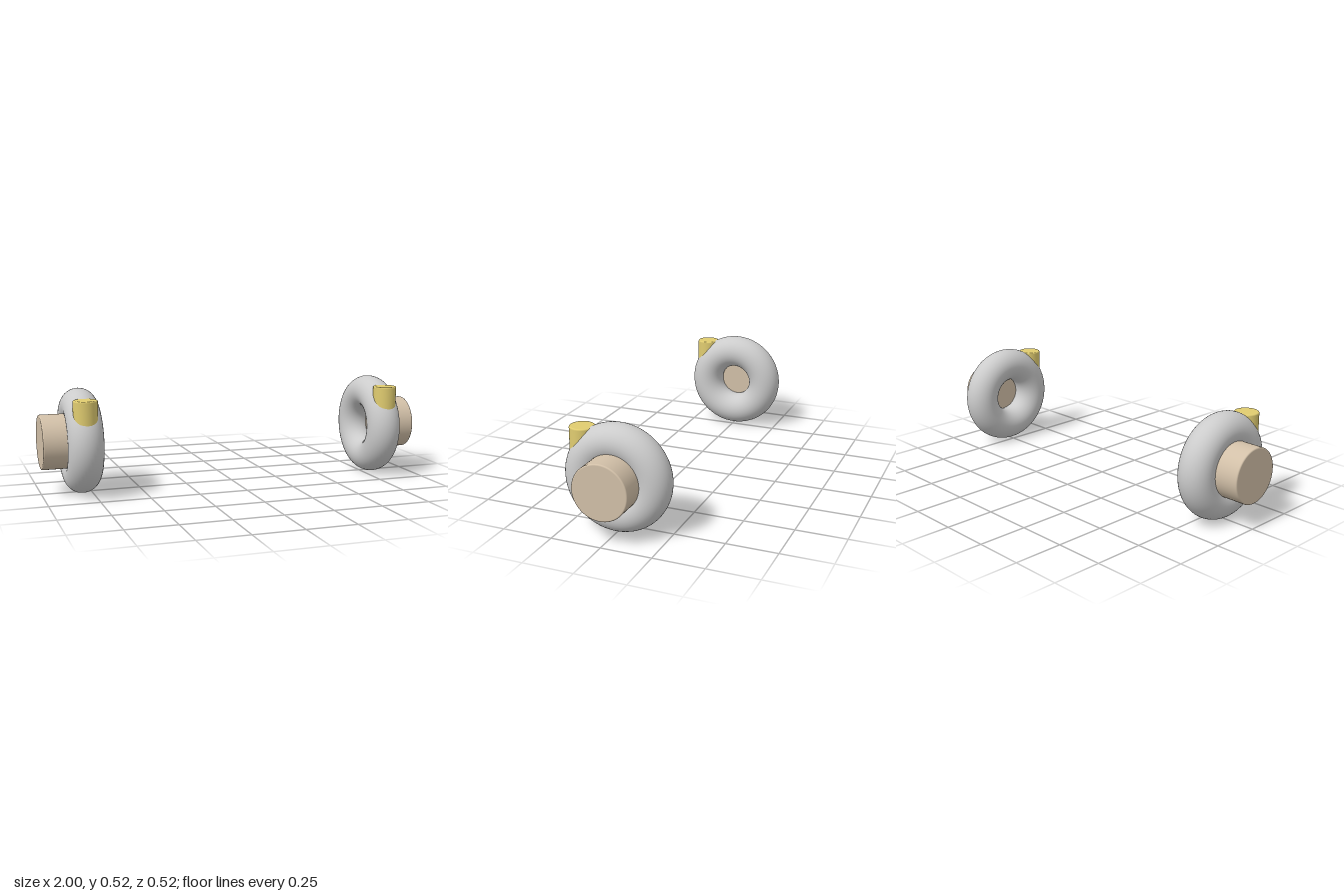
import * as THREE from 'three';

// Upright cylinder with softly rounded rims, from y0 to y1
function roundedCylinder(radius, y0, y1, bevel) {
  const pts = [new THREE.Vector2(0, y0), new THREE.Vector2(radius - bevel - 0.001, y0)];
  const steps = 4;
  for (let i = 0; i <= steps; i++) {
    const a = -Math.PI / 2 + (i / steps) * Math.PI / 2;
    pts.push(new THREE.Vector2(radius - bevel + bevel * Math.cos(a), y0 + bevel + bevel * Math.sin(a)));
  }
  pts.push(new THREE.Vector2(radius, y0 + bevel + 0.001), new THREE.Vector2(radius, y1 - bevel - 0.001));
  for (let i = 0; i <= steps; i++) {
    const a = (i / steps) * Math.PI / 2;
    pts.push(new THREE.Vector2(radius - bevel + bevel * Math.cos(a), y1 - bevel + bevel * Math.sin(a)));
  }
  pts.push(new THREE.Vector2(radius - bevel - 0.001, y1), new THREE.Vector2(0, y1));
  return new THREE.LatheGeometry(pts, 64);
}

export function createModel() {
  const model = new THREE.Group();
  const grey = new THREE.MeshStandardMaterial({ color: 0xcccccc });
  const tan = new THREE.MeshStandardMaterial({ color: 0xd2c0a8 });
  const yellow = new THREE.MeshStandardMaterial({ color: 0xe0cc70 });

  const centreX = 0.8, centreY = 0.2625;
  const ringGeometry = new THREE.TorusGeometry(0.175, 0.0875, 40, 96).rotateY(Math.PI / 2);
  const hubGeometry = roundedCylinder(0.137, 0.03, 0.2, 0.006);
  const pegGeometry = roundedCylinder(0.06, 0.3, 0.489, 0.006);

  for (const side of [1, -1]) {
    const unit = new THREE.Group();
    unit.name = side > 0 ? 'leftRingUnit' : 'rightRingUnit';
    unit.position.x = side * centreX;

    // Thick ring standing on the ground
    const ring = new THREE.Mesh(ringGeometry, grey);
    ring.name = 'ring';
    ring.position.y = centreY;

    // Hub pointing outwards
    const hub = new THREE.Mesh(hubGeometry, tan);
    hub.name = 'hub';
    hub.position.y = centreY + 0.001;
    hub.rotation.z = -side * Math.PI / 2;

    // Upright peg at the upper front of the ring
    const peg = new THREE.Mesh(pegGeometry, yellow);
    peg.name = 'peg';
    peg.position.z = 0.178;

    unit.add(ring, hub, peg);
    model.add(unit);
  }
  return model;
}
